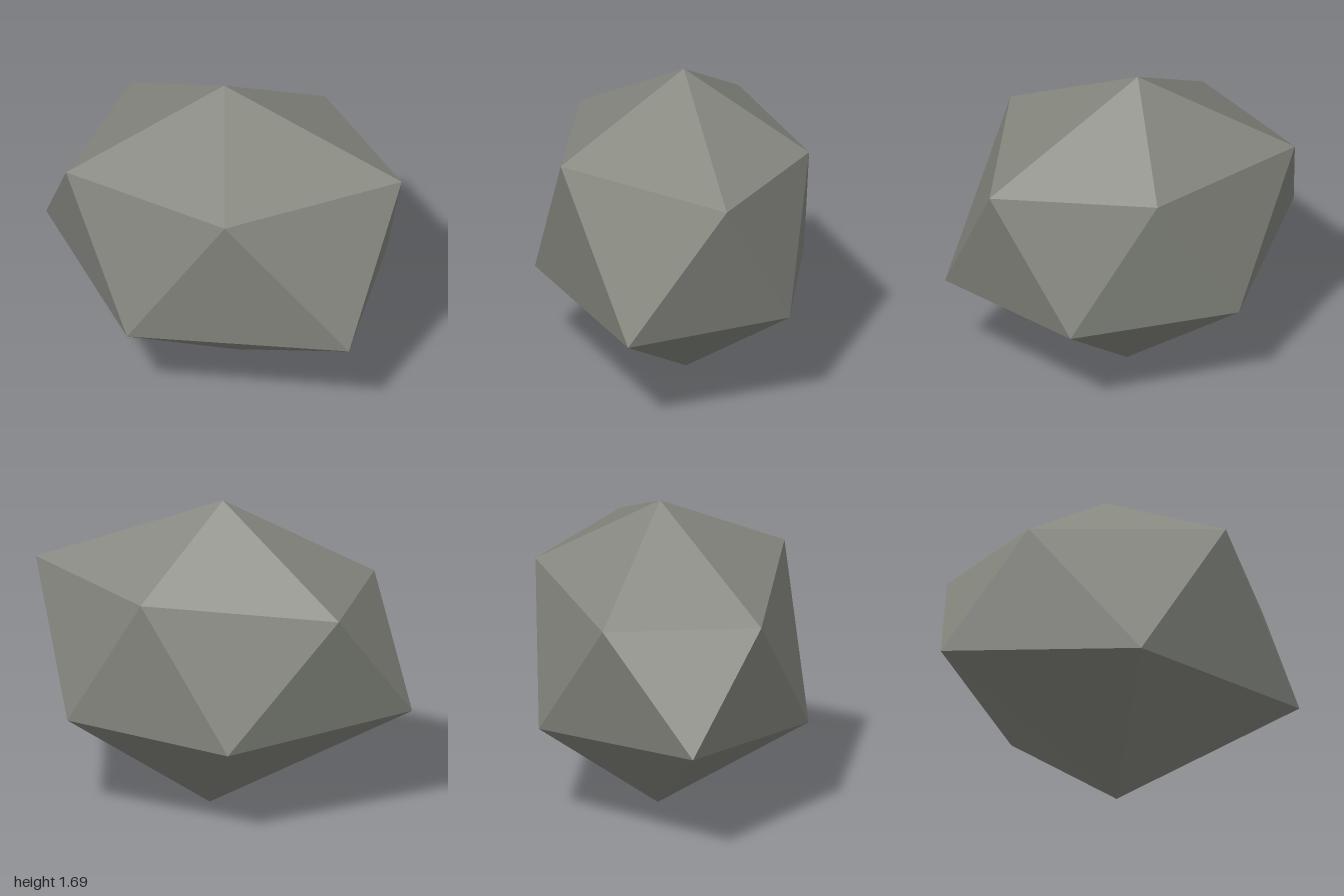
import * as THREE from 'three';

// Irregular twenty-sided boulder: two poles joined by two staggered rings of five corners
const TOP = [0.01, 1.69, -0.04];
const BOTTOM = [0.08, 0, -0.04];
const UPPER = [
  [0.32, 1.33, 0.67], [1.0, 1.32, -0.09], [0.32, 1.3, -0.65],
  [-0.7, 1.22, -0.46], [-0.71, 1.2, 0.38],
];
// Each lower corner sits between upper corners i and i + 1
const LOWER = [
  [0.92, 0.54, 0.42], [0.75, 0.56, -0.47], [-0.16, 0.52, -0.71],
  [-1.0, 0.59, -0.03], [-0.22, 0.5, 0.71],
];

function boulderGeometry() {
  const corners = [];
  for (let i = 0; i < 5; i++) {
    const j = (i + 1) % 5;
    corners.push(
      TOP, UPPER[i], UPPER[j],        // cap
      UPPER[i], LOWER[i], UPPER[j],   // side, pointing down
      UPPER[j], LOWER[i], LOWER[j],   // side, pointing up
      BOTTOM, LOWER[j], LOWER[i],     // underside
    );
  }
  const geometry = new THREE.BufferGeometry();
  geometry.setAttribute('position', new THREE.Float32BufferAttribute(corners.flat(), 3));
  geometry.computeVertexNormals();
  return geometry;
}

export function createModel() {
  const stone = new THREE.MeshStandardMaterial({ color: 0x868880, flatShading: true });
  stone.name = 'stone grey';
  const boulder = new THREE.Mesh(boulderGeometry(), stone);
  boulder.name = 'boulder';
  const group = new THREE.Group();
  group.name = 'rock';
  group.add(boulder);
  return group;
}
